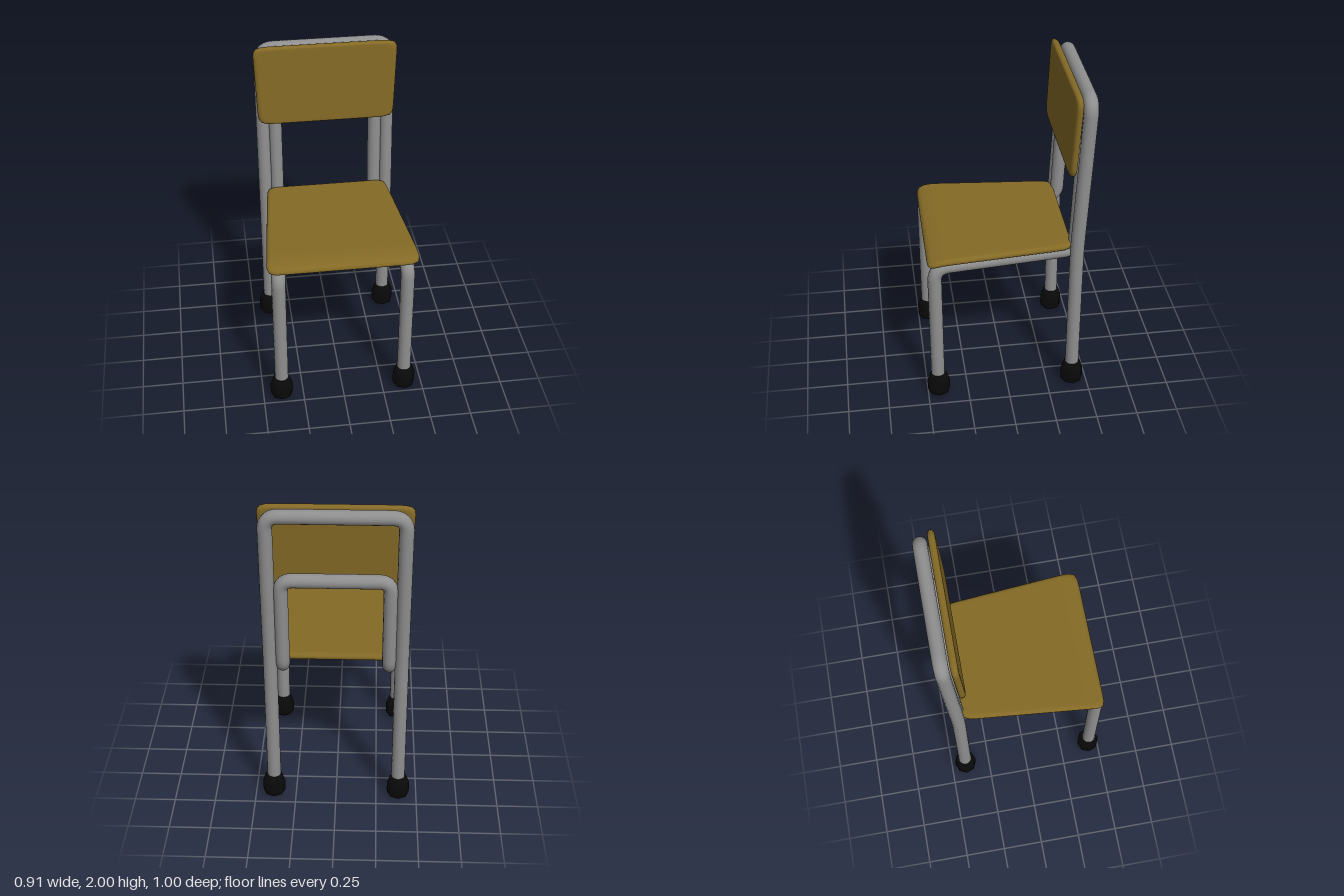
import * as THREE from 'three';
import { mergeVertices } from 'three/addons/utils/BufferGeometryUtils.js';

const steel = new THREE.MeshStandardMaterial({ color: 0x8f8f8f });
const wood = new THREE.MeshStandardMaterial({ color: 0x846a26 });
const rubber = new THREE.MeshStandardMaterial({ color: 0x090909 });

const TUBE_RADIUS = 0.042;

// Straight runs joined by rounded bends; corners are [x, y, z, bendRadius]
function bentTube(corners, name) {
  const pts = corners.map(c => new THREE.Vector3(c[0], c[1], c[2]));
  const path = new THREE.CurvePath();
  let from = pts[0];
  for (let i = 1; i < pts.length - 1; i++) {
    const r = corners[i][3];
    const p = pts[i];
    const start = p.clone().add(pts[i - 1].clone().sub(p).setLength(r));
    const end = p.clone().add(pts[i + 1].clone().sub(p).setLength(r));
    path.add(new THREE.LineCurve3(from, start));
    path.add(new THREE.QuadraticBezierCurve3(start, p, end));
    from = end;
  }
  path.add(new THREE.LineCurve3(from, pts[pts.length - 1]));
  const mesh = new THREE.Mesh(new THREE.TubeGeometry(path, 260, TUBE_RADIUS, 16), steel);
  mesh.name = name;
  return mesh;
}

// Repeats half a path on the other side of x = 0
function mirrored(half) {
  return [...half, ...half.slice().reverse().map(([x, ...rest]) => [-x, ...rest])];
}

// Flat board with a round edge: a lathed disc squared off into a tapered panel
function board(halfX, halfZ, thickness, taper, squareness, droop = () => 0) {
  const h = thickness / 2;
  const inset = 0.06;
  const profile = [0, 0.25, 0.5, 0.7, 0.8, 0.88].map(r => new THREE.Vector2(r, -h));
  for (let i = 0; i <= 8; i++) {
    const a = -Math.PI / 2 + (Math.PI * i) / 8;
    profile.push(new THREE.Vector2(1 - inset + inset * Math.cos(a), h * Math.sin(a)));
  }
  for (const r of [0.88, 0.8, 0.7, 0.5, 0.25, 0]) profile.push(new THREE.Vector2(r, h));

  let geo = new THREE.LatheGeometry(profile, 112);
  const pos = geo.attributes.position;
  for (let i = 0; i < pos.count; i++) {
    let x = pos.getX(i), z = pos.getZ(i);
    const r = Math.hypot(x, z);
    if (r > 1e-6) {
      const n = squareness;
      const k = Math.pow(Math.abs(x / r) ** n + Math.abs(z / r) ** n, -1 / n);
      x *= k;
      z *= k;
    }
    pos.setXYZ(i, x * halfX * (1 + taper * z), pos.getY(i) - droop(z * halfZ), z * halfZ);
  }
  geo.deleteAttribute('normal');
  geo.deleteAttribute('uv');
  geo = mergeVertices(geo, 1e-5);
  geo.computeVertexNormals();
  return geo;
}

export function createModel() {
  const chair = new THREE.Group();
  chair.name = 'chair';

  // Rear legs rising into the back hoop
  chair.add(bentTube(mirrored([
    [0.384, 0.08, -0.407, 0],
    [0.384, 1.0, -0.41, 0.12],
    [0.384, 1.958, -0.459, 0.08],
  ]), 'rearFrame'));

  // Front legs, seat rails and the inner hoop behind the backrest
  chair.add(bentTube(mirrored([
    [0.384, 0.08, 0.435, 0],
    [0.384, 0.945, 0.435, 0.09],
    [0.31, 0.95, -0.41, 0.07],
    [0.31, 1.55, -0.435, 0.07],
  ]), 'frontFrame'));

  // Seat, wider at the front, with a softly dropped front edge
  const seat = new THREE.Mesh(
    board(0.416, 0.432, 0.043, 0.095, 20, z => 0.022 * (Math.max(0, z - 0.31) / 0.12) ** 2), wood);
  seat.name = 'seat';
  seat.position.set(0, 1.006, 0.045);
  chair.add(seat);

  // Backrest, slightly narrower at the bottom and leaning back
  const backrest = new THREE.Mesh(board(0.424, 0.252, 0.042, -0.024, 15), wood);
  backrest.name = 'backrest';
  backrest.rotation.x = Math.PI / 2 - 0.05;
  backrest.position.set(0, 1.748, -0.378);
  chair.add(backrest);

  // Rubber feet with softly rounded soles
  const footProfile = [[0, 0], [0.045, 0.003], [0.066, 0.02], [0.069, 0.04], [0.069, 0.1], [0.05, 0.155], [0, 0.155]]
    .map(([r, y]) => new THREE.Vector2(r, y));
  const footGeo = new THREE.LatheGeometry(footProfile, 8);
  for (const side of [-1, 1]) {
    for (const [name, z] of [['frontFoot', 0.433], ['rearFoot', -0.407]]) {
      const foot = new THREE.Mesh(footGeo, rubber);
      foot.name = (side > 0 ? 'left ' : 'right ') + name;
      foot.position.set(side * 0.386, 0, z);
      chair.add(foot);
    }
  }
  return chair;
}
